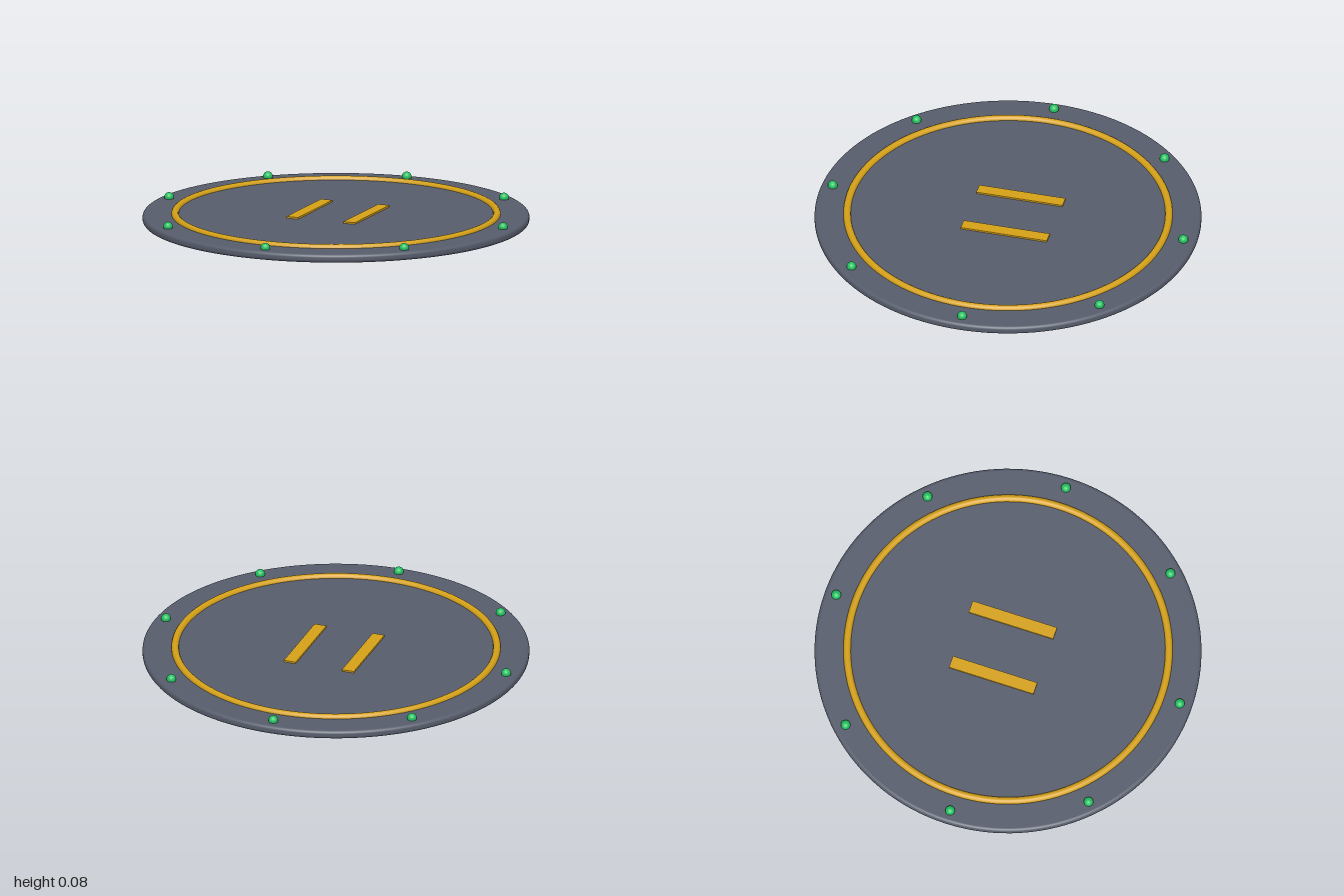
import * as THREE from 'three';

const slate = new THREE.MeshStandardMaterial({ name: 'slate grey', color: 0x565c6b });
const amber = new THREE.MeshStandardMaterial({ name: 'amber paint', color: 0xd4a017 });
const green = new THREE.MeshStandardMaterial({ name: 'green light', color: 0x22c060 });

const DECK = 0.045; // height of the deck surface

function addPart(group, name, geometry, material, x = 0, y = 0, z = 0) {
  const mesh = new THREE.Mesh(geometry, material);
  mesh.name = name;
  mesh.position.set(x, y, z);
  group.add(mesh);
  return mesh;
}

// Round slab: flat faces and a rounded rim, turned around y
function deckGeometry() {
  const r = 0.018;
  const rim = new THREE.Path();
  rim.moveTo(1 - r, 0);
  rim.absarc(1 - r, r, r, -Math.PI / 2, 0, false);
  rim.lineTo(1, DECK - r);
  rim.absarc(1 - r, DECK - r, r, 0, Math.PI / 2, false);
  return new THREE.LatheGeometry(rim.getPoints(6), 128);
}

export function createModel() {
  const model = new THREE.Group();
  model.name = 'landingPad';

  // Deck: rounded rim closed by flat discs
  addPart(model, 'deckRim', deckGeometry(), slate);
  const disc = new THREE.CircleGeometry(0.982, 128);
  addPart(model, 'deckTop', disc, slate, 0, DECK, 0).rotation.x = -Math.PI / 2;
  addPart(model, 'deckUnderside', disc, slate).rotation.x = Math.PI / 2;

  // Raised boundary ring, half sunk into the deck
  const ring = new THREE.TorusGeometry(0.832, 0.019, 16, 128);
  addPart(model, 'boundaryRing', ring, amber, 0, DECK, 0).rotation.x = Math.PI / 2;

  // Pair of touchdown bars
  const bar = new THREE.BoxGeometry(0.065, 0.009, 0.46);
  for (const side of [-1, 1]) {
    addPart(model, side > 0 ? 'leftTouchdownBar' : 'rightTouchdownBar', bar, amber,
      side * 0.16, DECK + 0.0045, -0.027);
  }

  // Eight edge lights
  const lights = new THREE.Group();
  lights.name = 'edgeLights';
  const bulb = new THREE.SphereGeometry(0.025, 20, 14);
  for (let i = 0; i < 8; i++) {
    const a = (i / 8) * Math.PI * 2;
    addPart(lights, 'edgeLight', bulb, green, 0.937 * Math.cos(a), 0.053, 0.937 * Math.sin(a));
  }
  model.add(lights);
  return model;
}
